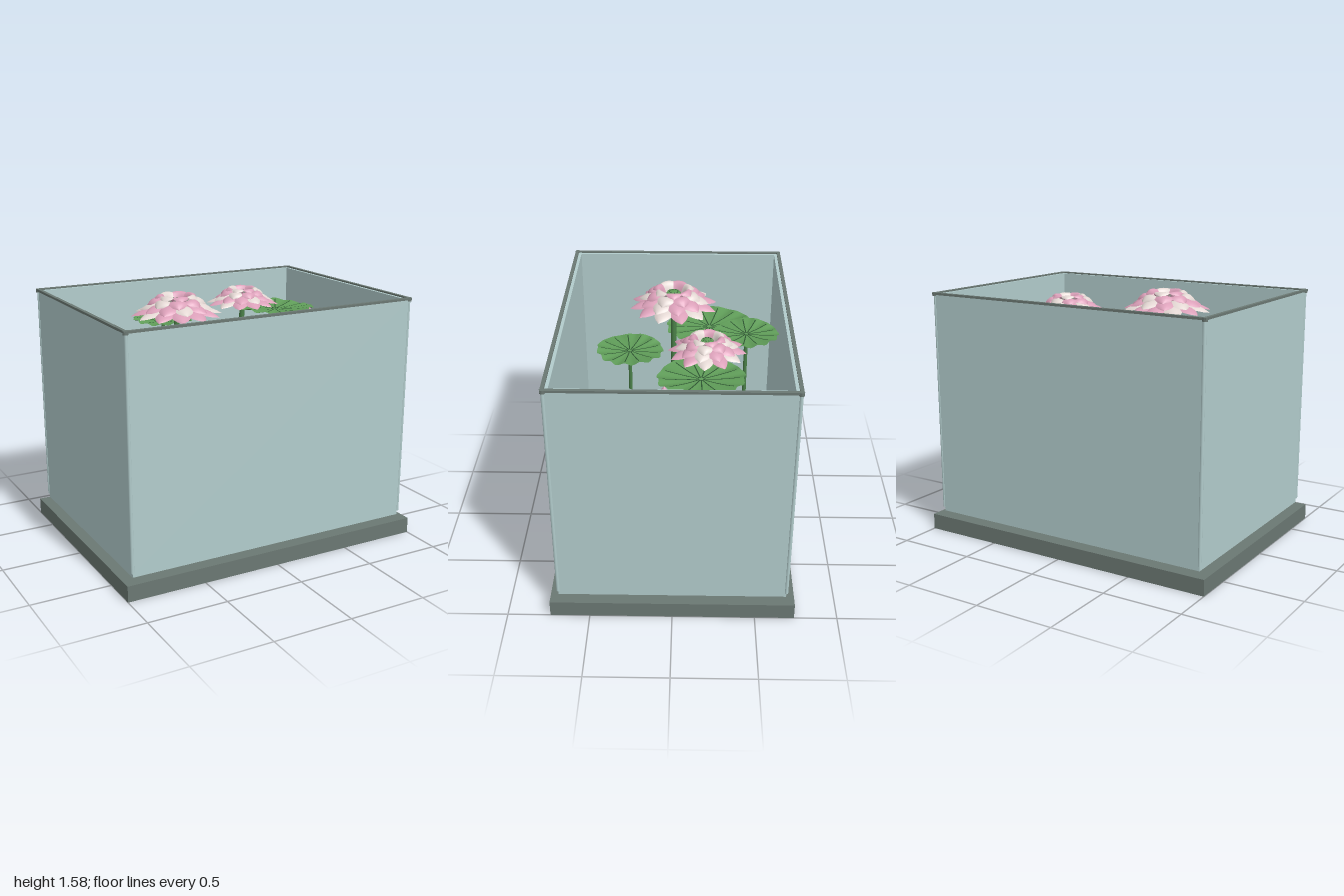
import * as THREE from 'three';

const mat = (name, color, double = false) => {
  const m = new THREE.MeshStandardMaterial({ color });
  m.name = name;
  if (double) m.side = THREE.DoubleSide;
  return m;
};

// Grid surface from a rule fn(u, v) -> [x, y, z]
function sheet(nu, nv, fn) {
  const pos = [], idx = [];
  for (let i = 0; i <= nu; i++)
    for (let j = 0; j <= nv; j++) pos.push(...fn(i / nu, j / nv));
  for (let i = 0; i < nu; i++)
    for (let j = 0; j < nv; j++) {
      const a = i * (nv + 1) + j, b = a + nv + 1;
      idx.push(a, a + 1, b, b, a + 1, b + 1);
    }
  const g = new THREE.BufferGeometry();
  g.setAttribute('position', new THREE.Float32BufferAttribute(pos, 3));
  g.setIndex(idx);
  g.computeVertexNormals();
  return g;
}

export function createModel() {
  const root = new THREE.Group();
  const M = {
    frame: mat('frame grey', 0x6b7873),
    glass: mat('glass blue', 0xb2cccc),
    soil: mat('soil brown', 0x7a6a58),
    pad: mat('pad green', 0x5f9c58, true),
    vein: mat('vein green', 0x2c5430, true),
    stem: mat('stem green', 0x4a8048),
    pink: mat('petal pink', 0xdba0b9, true),
    pale: mat('petal pale', 0xe2d6d2, true),
    pebble: mat('pebble grey', 0x5c676a),
  };
  const add = (name, geo, m, x = 0, y = 0, z = 0, parent = root) => {
    const mesh = new THREE.Mesh(geo, m);
    mesh.name = name;
    mesh.position.set(x, y, z);
    parent.add(mesh);
    return mesh;
  };
  const box = (name, m, w, h, d, x, y, z) => add(name, new THREE.BoxGeometry(w, h, d), m, x, y, z);

  // Plinth, tank floor and soil
  box('base', M.frame, 2, 0.1, 1.48, 0, 0.05, 0);
  box('tankFloor', M.glass, 1.89, 0.04, 1.38, 0, 0.14, 0);
  const soilY = 0.3;
  box('soil', M.soil, 1.84, soilY - 0.16, 1.32, 0, (soilY + 0.16) / 2, 0);

  // Glass walls, top rim and corners
  for (const s of [-1, 1]) {
    box('longWall', M.glass, 1.89, 1.4, 0.035, 0, 0.85, s * 0.68);
    box('shortWall', M.glass, 0.03, 1.4, 1.38, s * 0.935, 0.85, 0);
    box('longRim', M.frame, 1.92, 0.014, 0.022, 0, 1.552, s * 0.693);
    box('shortRim', M.frame, 0.022, 0.014, 1.4, s * 0.949, 1.552, 0);
    for (const t of [-1, 1]) {
      add('cornerSeal', new THREE.CylinderGeometry(0.011, 0.011, 1.4, 12), M.glass, s * 0.945, 0.85, t * 0.69);
      add('cornerCap', new THREE.CylinderGeometry(0.016, 0.016, 0.022, 12), M.frame, s * 0.948, 1.548, t * 0.69);
    }
  }

  const stem = (x, z, top, r) =>
    add('stem', new THREE.CylinderGeometry(r, r, top - soilY, 10), M.stem, x, (top + soilY) / 2, z);

  // Lily pads: shallow rippled dishes with radial veins
  const VEINS = 13;
  function lilyPad(x, y, z, R, turn) {
    const g = new THREE.Group();
    g.name = 'lilyPad';
    g.position.set(x, y, z);
    g.rotation.y = turn;
    root.add(g);
    const point = (t, a, lift = 0) => {
      const r = R * t * (1 - 0.03 * t * Math.cos(VEINS * a) + 0.02 * Math.sin(2 * a + turn));
      const h = R * t * t * (0.07 + 0.025 * Math.cos(VEINS * a) + 0.03 * Math.sin(3 * a)) + lift;
      return [r * Math.cos(a), h, r * Math.sin(a)];
    };
    add('leaf', sheet(8, VEINS * 8, (u, v) => point(u, v * Math.PI * 2)), M.pad, 0, 0, 0, g);
    for (let i = 0; i < VEINS; i++) {
      const a = (i / VEINS) * Math.PI * 2;
      const vein = sheet(8, 1, (u, v) => {
        const t = 0.06 + 0.84 * u;
        return point(t, a + ((v - 0.5) * 0.007) / (R * t), 0.003);
      });
      add('vein', vein, M.vein, 0, 0, 0, g);
    }
    stem(x, z, y, 0.012);
  }
  [
    [-0.48, 1.22, -0.22, 0.28], [-0.18, 1.32, -0.45, 0.2], [0.19, 0.92, -0.48, 0.17],
    [0.51, 1.38, -0.16, 0.25], [-0.54, 1.0, 0.32, 0.225], [0.4, 0.8, 0.34, 0.225],
  ].forEach(([x, y, z, r], i) => lilyPad(x, y, z, r, i * 1.3));

  // One petal: a width rule swept along a curved radial profile, edges drooping
  function petal([r0, y0, r1, y1, r2, y2], W, round, droop) {
    const curve = new THREE.QuadraticBezierCurve(
      new THREE.Vector2(r0, y0), new THREE.Vector2(r1, y1), new THREE.Vector2(r2, y2));
    return sheet(10, 6, (u, v) => {
      const p = curve.getPoint(u), k = 2 * v - 1;
      const w = W * Math.pow(Math.max(0, Math.sin(Math.PI * Math.pow(u, 1.25))), round);
      return [k * w, p.y - droop * k * k * w, p.x - 0.3 * k * k * w];
    });
  }

  // Flower of unit size, its top at y = 0; tiers of petals from the outside in
  const tiers = [
    { name: 'outerPetal', n: 12, geo: petal([0.2, -0.36, 0.62, -0.2, 1.02, -0.47], 0.23, 0.75, 0.25), turn: 0 },
    { name: 'lowerPetal', n: 10, geo: petal([0.2, -0.25, 0.55, -0.1, 0.82, -0.36], 0.22, 0.65, 0.25), turn: 0.26 },
    { name: 'middlePetal', n: 8, geo: petal([0.24, -0.2, 0.48, 0.06, 0.66, -0.24], 0.21, 0.55, 0.25), turn: 0.2 },
    { name: 'innerPetal', n: 7, geo: petal([0.2, -0.32, 0.3, 0.17, 0.5, -0.1], 0.2, 0.45, 0.15), turn: 0.5 },
  ];
  const podGeo = new THREE.LatheGeometry(
    [[0, -0.42], [0.1, -0.36], [0.17, -0.16], [0.15, -0.12], [0, -0.1]].map(p => new THREE.Vector2(...p)), 20);
  const seedGeo = new THREE.SphereGeometry(0.018, 6, 4);
  function flower(x, top, z, R, turn) {
    const g = new THREE.Group();
    g.name = 'flower';
    g.position.set(x, top, z);
    g.scale.setScalar(R);
    g.rotation.y = turn;
    root.add(g);
    tiers.forEach(({ name, n, geo, turn: t }, k) => {
      for (let i = 0; i < n; i++) {
        const m = (i * 2 + k) % 5 < 3 ? M.pink : M.pale;
        add(name, geo, m, 0, 0, 0, g).rotation.y = t + (i / n) * Math.PI * 2;
      }
    });
    add('seedPod', podGeo, M.pad, 0, 0, 0, g);
    for (let i = 0; i < 8; i++) {
      const a = (i / 8) * Math.PI * 2;
      add('seed', seedGeo, M.vein, 0.1 * Math.cos(a), -0.112, 0.1 * Math.sin(a), g);
    }
    stem(x, z, top - 0.36 * R, 0.017);
  }
  flower(-0.31, 1.585, 0.015, 0.275, 0.2);
  flower(0.275, 1.542, -0.195, 0.23, 0.45);

  // Closed bud
  const budGeo = new THREE.LatheGeometry(
    [[0, -0.04], [0.018, -0.03], [0.026, -0.008], [0.018, 0.02], [0, 0.045]].map(p => new THREE.Vector2(...p)), 12);
  add('bud', budGeo, M.pink, 0.65, 1.37, 0.05);
  stem(0.65, 0.05, 1.335, 0.009);

  // Pebbles scattered on the soil
  const pebbleGeo = new THREE.SphereGeometry(0.016, 10, 8);
  [
    [-0.61, -0.56], [-0.39, -0.57], [0.58, -0.53], [-0.84, 0.13], [-0.82, 0.5], [-0.6, 0.04],
    [-0.06, 0.45], [0.05, 0.51], [-0.15, 0.54], [0.18, 0.49], [0.8, 0.48], [0.63, 0.28],
    [0.15, 0.06], [0.07, -0.1], [0, -0.19], [-0.39, 0.49], [-0.76, -0.21], [0.41, 0.12],
  ].forEach(([x, z], i) => {
    const p = add('pebble', pebbleGeo, M.pebble, x, soilY + 0.004, z);
    p.scale.set(0.8 + 0.1 * (i % 3), 0.6, 1);
    p.rotation.y = i * 0.9;
  });

  return root;
}
